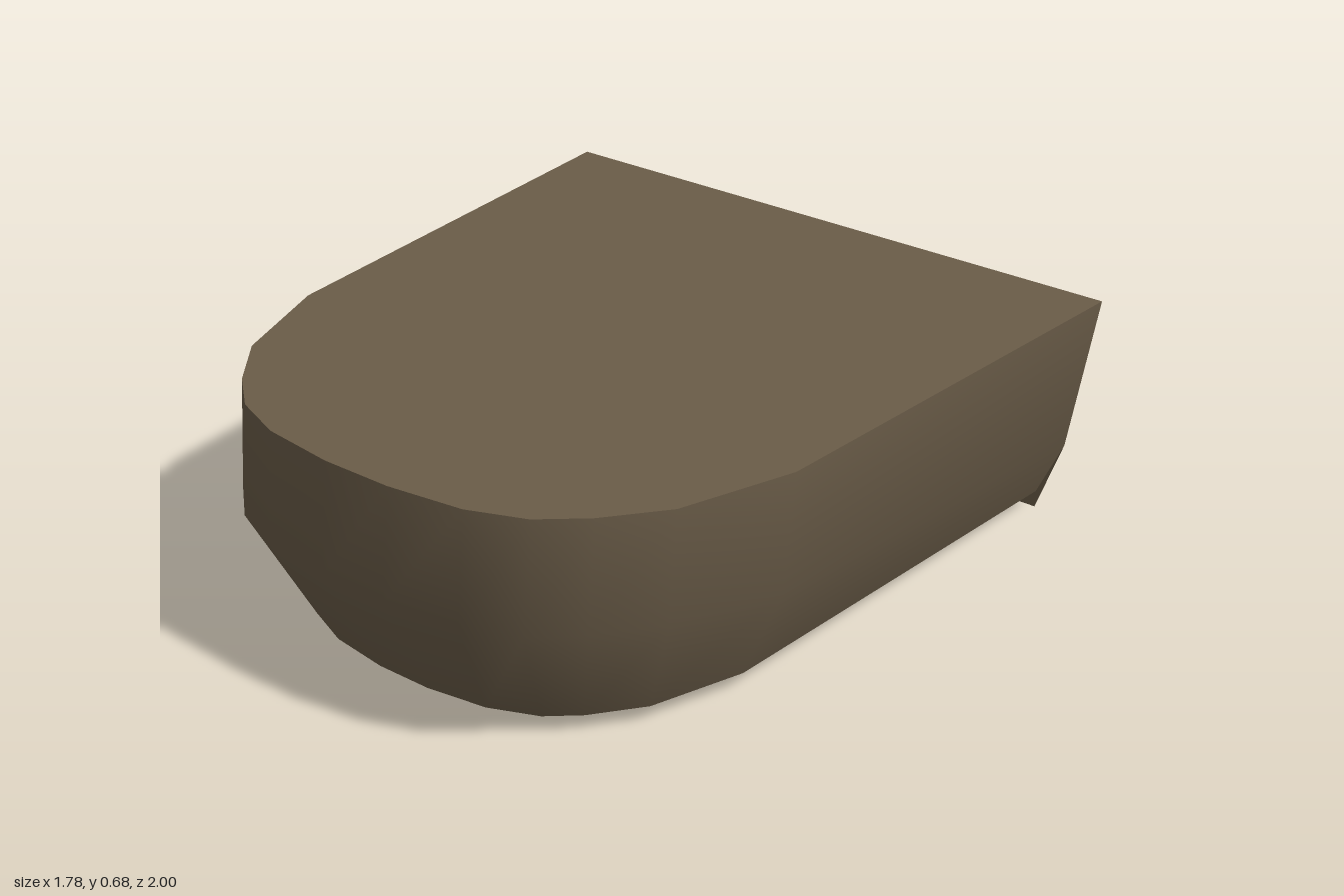
import * as THREE from 'three';
import { toCreasedNormals } from 'three/addons/utils/BufferGeometryUtils.js';

const material = new THREE.MeshStandardMaterial({ color: 0x6a5c48, side: THREE.DoubleSide });

// Half outlines [x, y, z] of the shell, from the back corner to the nose
const bottom = [[0.745, 0.05, -0.98], [0.65, 0.05, 0.3], [0.56, 0.05, 0.56], [0.46, 0.05, 0.69],
  [0.38, 0.05, 0.76], [0.25, 0.05, 0.815], [0.08, 0.05, 0.84]];
const middle = [[0.82, 0.22, -0.98], [0.795, 0.36, 0.35], [0.69, 0.38, 0.66], [0.57, 0.38, 0.81],
  [0.46, 0.38, 0.91], [0.31, 0.38, 0.97], [0.1, 0.38, 1.0]];
const top = [[0.89, 0.68, -0.98], [0.8, 0.68, 0.32], [0.69, 0.68, 0.635], [0.57, 0.68, 0.785],
  [0.46, 0.68, 0.88], [0.31, 0.68, 0.94], [0.1, 0.68, 0.967]];

// Full outline, running from the back at -x around the nose to the back at +x
const mirror = (half) => [...half.map(([x, y, z]) => [-x, y, z]), ...[...half].reverse()];

// Surface through successive rows of points
function loft(rows, closed = false) {
  const n = rows[0].length;
  const index = [];
  for (let j = 0; j < rows.length - 1; j++) {
    for (let i = 0; i < (closed ? n : n - 1); i++) {
      const k = (i + 1) % n;
      const a = j * n + i, b = j * n + k, c = a + n, d = b + n;
      index.push(a, b, d, a, d, c);
    }
  }
  const geometry = new THREE.BufferGeometry();
  geometry.setAttribute('position', new THREE.Float32BufferAttribute(rows.flat(2), 3));
  geometry.setIndex(index);
  return geometry;
}

// Flat horizontal cover over an outline
function cover(outline) {
  const shape = new THREE.Shape(outline.map(([x, , z]) => new THREE.Vector2(x, -z)));
  return new THREE.ShapeGeometry(shape).rotateX(-Math.PI / 2).translate(0, outline[0][1], 0);
}

export function createModel() {
  const group = new THREE.Group();
  const add = (name, geometry) => {
    const mesh = new THREE.Mesh(geometry, material);
    mesh.name = name;
    group.add(mesh);
  };

  // Rounded shell with its lid and floor
  const rings = [bottom, middle, top].map(mirror);
  add('shellWall', toCreasedNormals(loft(rings), 0.75));
  add('lid', cover(rings[2]));
  add('floor', cover(rings[0]));

  // Back panel with an octagonal opening
  const panel = new THREE.Shape([[-0.745, 0], [0.745, 0], [0.82, 0.22], [0.89, 0.68], [-0.89, 0.68], [-0.82, 0.22]]
    .map(([x, y]) => new THREE.Vector2(x, y)));
  const octagon = [];
  for (let i = 0; i < 8; i++) {
    const a = -i * Math.PI / 4;
    octagon.push(new THREE.Vector2(0.235 * Math.cos(a), 0.255 + 0.235 * Math.sin(a)));
  }
  panel.holes.push(new THREE.Path(octagon));
  add('backPanel', new THREE.ShapeGeometry(panel).rotateY(Math.PI).translate(0, 0, -0.98));

  // Short collar around the opening
  const collar = loft([-1, -0.98].map((z) => octagon.map((p) => [p.x, p.y, z])), true);
  add('openingCollar', toCreasedNormals(collar, 0.5));

  // Tapered runner along the lower edge on one side
  const section = (x, z, y) => [[x - 0.035, y, z], [x, 0.16, z], [x + 0.035, y, z]];
  const front = section(-0.615, 0.5, 0.04), back = section(-0.745, -0.86, 0.035);
  const tip = (p) => Array(3).fill([p[1][0], 0.08, p[1][2]]);
  add('sideRunner', toCreasedNormals(loft([tip(back), back, front, tip(front)], true), 0.4));

  return group;
}
